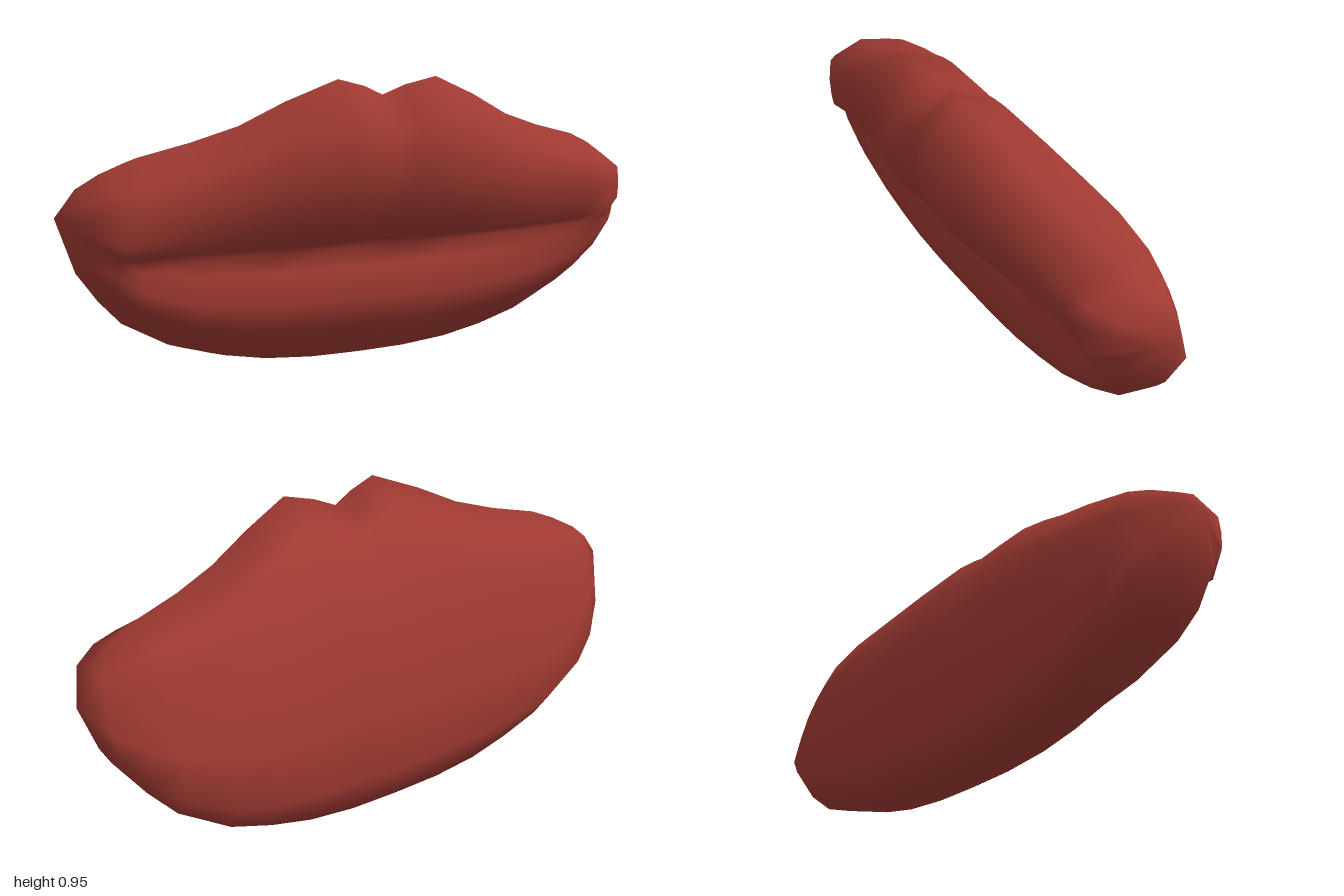
import * as THREE from 'three';

// Half of the mouth, from the middle to the corner. Each row is one cross-section:
// x, then (y, z) of the top edge, upper lip bulge, crease, lower lip bulge and bottom edge,
// then how far the back is pulled forward.
const STATIONS = [
  [0.00, 0.90, 0.12, 0.66, 0.245, 0.41, 0.04, 0.25, 0.085, 0.003, -0.215, 0],
  [0.07, 0.93, 0.135, 0.67, 0.262, 0.41, 0.04, 0.25, 0.085, 0.004, -0.215, 0],
  [0.17, 0.955, 0.155, 0.67, 0.278, 0.41, 0.04, 0.25, 0.085, 0.006, -0.215, 0],
  [0.33, 0.89, 0.12, 0.64, 0.235, 0.41, 0.045, 0.25, 0.083, 0.022, -0.212, 0],
  [0.47, 0.82, 0.09, 0.61, 0.195, 0.415, 0.05, 0.26, 0.08, 0.052, -0.205, 0],
  [0.61, 0.775, 0.06, 0.59, 0.17, 0.42, 0.06, 0.28, 0.08, 0.097, -0.20, 0.002],
  [0.77, 0.735, 0.035, 0.575, 0.16, 0.435, 0.09, 0.33, 0.085, 0.19, -0.17, 0.025],
  [0.85, 0.70, 0.02, 0.57, 0.152, 0.465, 0.14, 0.39, 0.09, 0.275, -0.14, 0.05],
  [0.93, 0.655, -0.005, 0.57, 0.10, 0.51, 0.095, 0.45, 0.06, 0.38, -0.09, 0.095],
];
const CORNER = [1, 0.56, -0.045];

// Slanted, slightly convex back: z as a function of y
const BACK = [[0, -0.28], [0.14, -0.275], [0.36, -0.255], [0.555, -0.2], [0.725, -0.12], [0.8, -0.07], [0.955, 0.055]];
function backZ(y) {
  let i = 0;
  while (i < BACK.length - 2 && y > BACK[i + 1][0]) i++;
  const [y0, z0] = BACK[i], [y1, z1] = BACK[i + 1];
  return z0 + (z1 - z0) * (y - y0) / (y1 - y0);
}

const mix = THREE.MathUtils.lerp;

// Closed outline in (y, z): bottom, up the back, over the top, down the front
function section([, yT, zT, yU, zU, yC, zC, yL, zL, yB, zB, pull]) {
  const pts = [[yB, zB]];
  for (const t of [0.14, 0.37, 0.58, 0.77, 0.94]) {
    const y = mix(yB, yT, t);
    pts.push([y, backZ(y) + pull]);
  }
  pts.push(
    [yT, zT],
    [mix(yU, yT, 0.56), zU - 0.008],
    [yU, zU],
    [mix(yC, yU, 0.42), mix(zC, zU, 0.72)],
    [mix(yC, yU, 0.12), mix(zC, zU, 0.3)],
    [yC, zC],
    [mix(yC, yL, 0.35), mix(zC, zL, 0.75)],
    [yL, zL],
    [mix(yL, yB, 0.37), mix(zL, zB, 0.08)],
    [mix(yL, yB, 0.87), mix(zL, zB, 0.48)],
  );
  return pts;
}

function lipsGeometry() {
  // Mirrored rings running from the right corner to the left
  const rows = [
    ...STATIONS.slice(1).reverse().map((s) => [-s[0], section(s)]),
    ...STATIONS.map((s) => [s[0], section(s)]),
  ];
  const n = rows[0][1].length;
  const pos = [], index = [];
  for (const [x, pts] of rows) for (const [y, z] of pts) pos.push(x, y, z);
  const rightTip = pos.length / 3, leftTip = rightTip + 1;
  pos.push(-CORNER[0], CORNER[1], CORNER[2], ...CORNER);

  const last = (rows.length - 1) * n;
  for (let j = 0; j < n; j++) {
    const k = (j + 1) % n;
    for (let i = 0; i < last; i += n) {
      index.push(i + j, i + k, i + n + j, i + k, i + n + k, i + n + j);
    }
    // Pointed corners
    index.push(rightTip, k, j, last + j, last + k, leftTip);
  }
  const g = new THREE.BufferGeometry();
  g.setAttribute('position', new THREE.Float32BufferAttribute(pos, 3));
  g.setIndex(index);
  g.computeVertexNormals();
  return g;
}

export function createModel() {
  const group = new THREE.Group();
  group.name = 'mouth';
  const lips = new THREE.Mesh(lipsGeometry(), new THREE.MeshStandardMaterial({ color: 0xa03a32 }));
  lips.name = 'lips';
  group.add(lips);
  return group;
}
